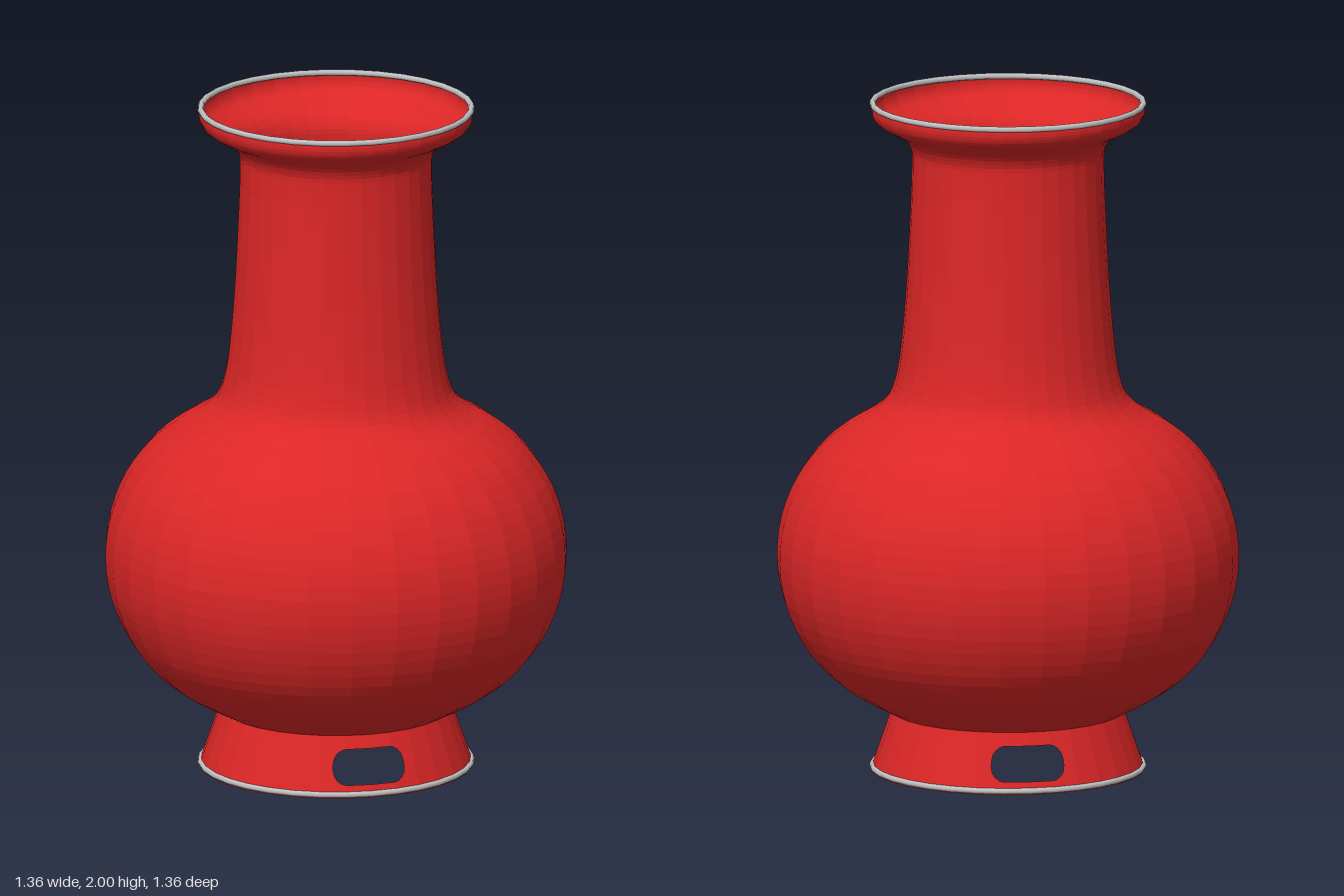
import * as THREE from 'three';

const SIDES = 32;
const STEP = (Math.PI * 2) / SIDES;
const FOOT_TOP = 0.175;

// Radius correction that keeps the foot on the same flat facets as the lathe
function facet(angle) {
  const a = ((angle % STEP) + STEP) % STEP;
  return Math.cos(STEP / 2) / Math.cos(a - STEP / 2);
}

// Half of the flared foot, as strips above and below a rounded slot
function footHalf() {
  const slotY = 0.086, halfHeight = 0.05, corner = 0.042, halfAngle = 0.11 / 0.375;
  const cornerAngle = corner / 0.375;
  const opening = (angle) => {
    const d = Math.max(0, (Math.abs(angle) - halfAngle + cornerAngle) / cornerAngle);
    return halfHeight - corner + corner * Math.sqrt(Math.max(0, 1 - d * d));
  };

  // Columns: facet corners, extra ones around the slot ends
  const angles = [];
  for (let i = -SIDES / 4; i <= SIDES / 4; i++) angles.push(i * STEP);
  for (const s of [-1, 1])
    for (const t of [0, 0.4, 0.7, 0.9, 1]) angles.push(s * (halfAngle - cornerAngle * (1 - t)));
  angles.sort((a, b) => a - b);

  const point = (angle, y) => {
    const r = (0.402 - (0.06 * y) / FOOT_TOP) * facet(angle);
    return [r * Math.sin(angle), y, r * Math.cos(angle)];
  };
  const positions = [];
  for (let i = 0; i < angles.length - 1; i++) {
    const a = angles[i], b = angles[i + 1];
    const open = Math.abs((a + b) / 2) < halfAngle;
    const ha = open ? opening(a) : 0, hb = open ? opening(b) : 0;
    for (const [a0, b0, a1, b1] of [
      [0, 0, slotY - ha, slotY - hb],
      [slotY + ha, slotY + hb, FOOT_TOP, FOOT_TOP],
    ]) {
      positions.push(...point(a, a0), ...point(b, b0), ...point(b, b1));
      positions.push(...point(a, a0), ...point(b, b1), ...point(a, a1));
    }
  }
  const geometry = new THREE.BufferGeometry();
  geometry.setAttribute('position', new THREE.Float32BufferAttribute(positions, 3));
  geometry.computeVertexNormals();
  return geometry;
}

export function createModel() {
  const group = new THREE.Group();
  const red = new THREE.MeshStandardMaterial({ color: 0xdc2626, side: THREE.DoubleSide, flatShading: true });
  red.name = 'red glaze';
  const silver = new THREE.MeshStandardMaterial({ color: 0xc0c0c0 });
  silver.name = 'silver trim';

  const add = (name, geometry, material) => {
    const mesh = new THREE.Mesh(geometry, material);
    mesh.name = name;
    group.add(mesh);
    return mesh;
  };

  // Round belly, tapering neck and flared lip in one thin wall
  const profile = new THREE.SplineCurve([
    [0.342, FOOT_TOP], [0.46, 0.24], [0.54, 0.304], [0.61, 0.393], [0.66, 0.51],
    [0.678, 0.63], [0.665, 0.75], [0.62, 0.865], [0.55, 0.96], [0.47, 1.025],
    [0.395, 1.07], [0.35, 1.115], [0.327, 1.18], [0.312, 1.28], [0.298, 1.45],
    [0.288, 1.64], [0.282, 1.81], [0.287, 1.86], [0.312, 1.895], [0.36, 1.92],
    [0.39, 1.94], [0.402, 1.965], [0.401, 1.992],
  ].map(([x, y]) => new THREE.Vector2(x, y)));
  add('body', new THREE.LatheGeometry(profile.getPoints(66), SIDES), red);

  // Flat floor between belly and foot
  const floor = add('floor', new THREE.CircleGeometry(0.342, SIDES), red);
  floor.rotation.x = -Math.PI / 2;
  floor.position.y = FOOT_TOP;

  // Open foot with one slot in front and one behind
  const half = footHalf();
  add('footFront', half, red);
  add('footBack', half, red).rotation.y = Math.PI;

  // Thin trim on the lip and the foot edge
  for (const [name, y] of [['lipTrim', 1.99], ['footTrim', 0.01]]) {
    const ring = add(name, new THREE.TorusGeometry(0.398, 0.009, 8, SIDES), silver);
    ring.rotation.x = Math.PI / 2;
    ring.position.y = y;
  }
  return group;
}
